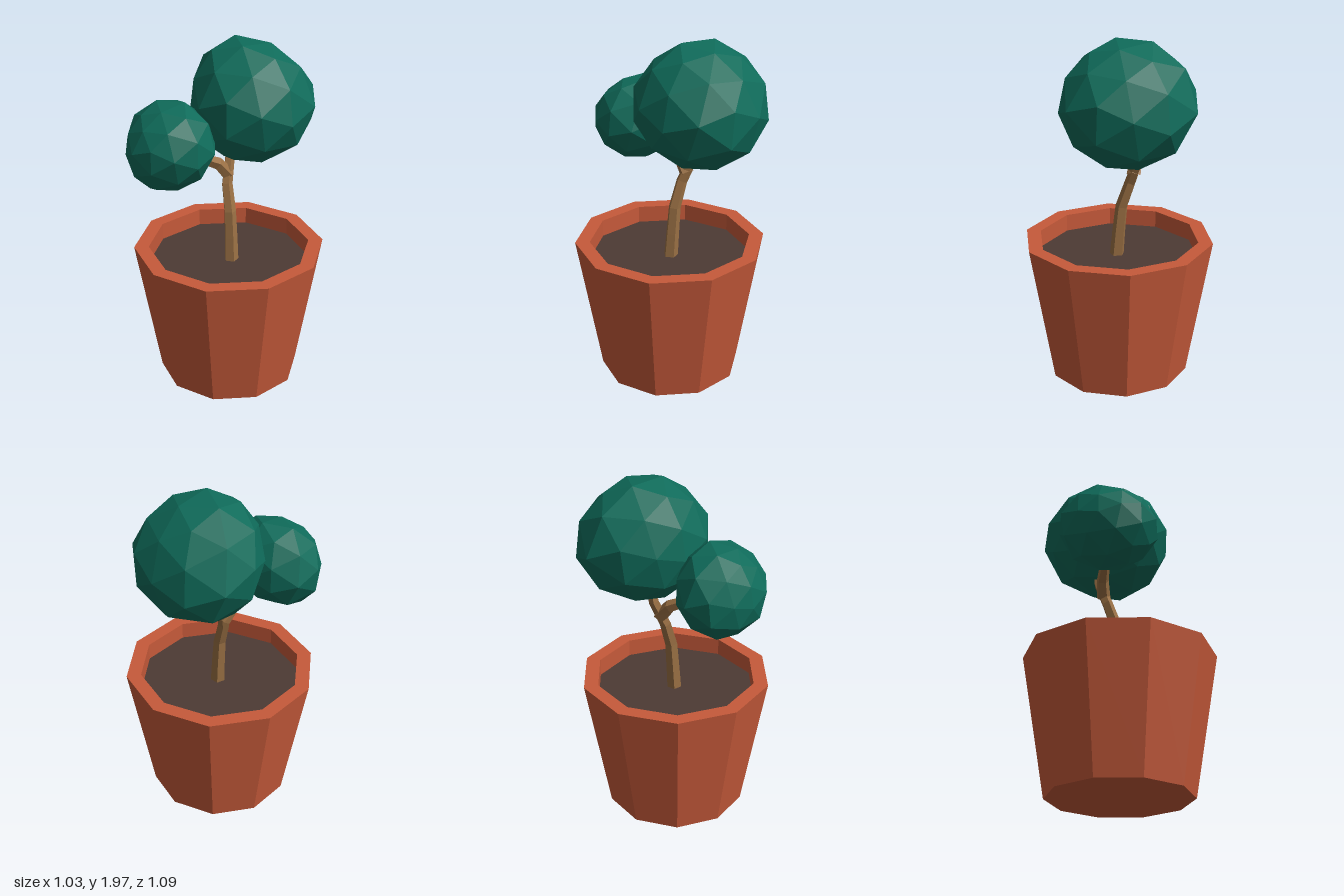
import * as THREE from 'three';

const mat = (name, color) => {
  const m = new THREE.MeshStandardMaterial({ color });
  m.name = name;
  return m;
};

// Split faces so that each gets its own flat normal
function faceted(geometry) {
  const g = geometry.index ? geometry.toNonIndexed() : geometry;
  g.computeVertexNormals();
  return g;
}

function part(name, geometry, material) {
  const mesh = new THREE.Mesh(faceted(geometry), material);
  mesh.name = name;
  return mesh;
}

// Five-sided limb through the points, tapering from r0 to r1
function limb(points, r0, r1) {
  const path = new THREE.CatmullRomCurve3(points.map(p => new THREE.Vector3(...p)));
  const steps = points.length - 1, sides = 5;
  const g = new THREE.TubeGeometry(path, steps, 1, sides, false);
  const pos = g.attributes.position, v = new THREE.Vector3();
  for (let i = 0; i < pos.count; i++) {
    const t = Math.floor(i / (sides + 1)) / steps;
    const c = path.getPointAt(t);
    v.fromBufferAttribute(pos, i).sub(c).multiplyScalar(r0 + (r1 - r0) * t).add(c);
    pos.setXYZ(i, v.x, v.y, v.z);
  }
  return g;
}

// Faceted ball, swollen or dented towards given directions [x, y, z, amount]
function crown(center, radii, bumps) {
  const g = new THREE.IcosahedronGeometry(1, 1);
  g.rotateX(0.3).rotateY(0.5);
  const dirs = bumps.map(([x, y, z]) => new THREE.Vector3(x, y, z).normalize());
  const pos = g.attributes.position, v = new THREE.Vector3();
  for (let i = 0; i < pos.count; i++) {
    v.fromBufferAttribute(pos, i);
    let s = 1;
    dirs.forEach((d, k) => { s += bumps[k][3] * Math.max(0, v.dot(d)) ** 4; });
    pos.setXYZ(i, v.x * radii[0] * s, v.y * radii[1] * s, v.z * radii[2] * s);
  }
  return g.translate(...center);
}

export function createModel() {
  const clay = mat('terracotta', 0xc65a3a);
  const earth = mat('soil', 0x4d3a34);
  const bark = mat('bark', 0x9a7044);
  const leaf = mat('foliage', 0x0f6b5a);
  const model = new THREE.Group();
  model.name = 'pottedTree';

  // Ten-sided pot: underside, outer wall, rim and inner wall
  const profile = [[0, 0], [0.405, 0], [0.543, 0.81], [0.46, 0.81], [0.46, 0.69]]
    .map(p => new THREE.Vector2(...p));
  const pot = part('pot', new THREE.LatheGeometry(profile, 10), clay);
  pot.position.z = -0.006;
  model.add(pot);

  const soil = part('soil', new THREE.CylinderGeometry(0.46, 0.46, 0.02, 10), earth);
  soil.position.set(0, 0.7, -0.006);
  model.add(soil);

  // Leaning trunk and the side branch that carries the small crown
  model.add(part('trunk', limb([[0.01, 0.69, -0.015], [0, 0.83, -0.02], [-0.025, 1.05, -0.03],
    [-0.085, 1.21, -0.06], [-0.1, 1.3, -0.1], [-0.09, 1.45, -0.13]], 0.042, 0.026), bark));
  model.add(part('branch', limb([[-0.08, 1.2, -0.07], [-0.1, 1.27, -0.02],
    [-0.115, 1.32, 0.07], [-0.13, 1.38, 0.17]], 0.042, 0.024), bark));

  // Leafy crowns
  model.add(part('largeCrown', crown([-0.025, 1.65, -0.168], [0.362, 0.358, 0.357], [
    [-0.8, 0, -0.6, 0.12], [0.8, -0.1, -0.6, 0.07], [-0.7, 0, 0.7, -0.1], [0.45, 0, 0.9, 0.03],
    [0, 0.7, -0.7, -0.1], [0, -0.7, -0.7, 0.06], [0, 0.65, 0.75, -0.06], [0.7, 0.7, 0, -0.06],
  ]), leaf));
  model.add(part('smallCrown', crown([-0.15, 1.455, 0.305], [0.273, 0.253, 0.252], [
    [-0.9, 0, -0.45, 0.1], [-0.7, 0, 0.7, -0.14], [0.5, 0, 0.87, -0.06], [0, 0.8, 0.55, -0.14],
    [0, 0.85, -0.5, 0.05], [0.9, 0.2, -0.3, 0.06], [-0.6, -0.8, 0, 0.06], [0.6, -0.8, 0, -0.05],
  ]), leaf));

  return model;
}
